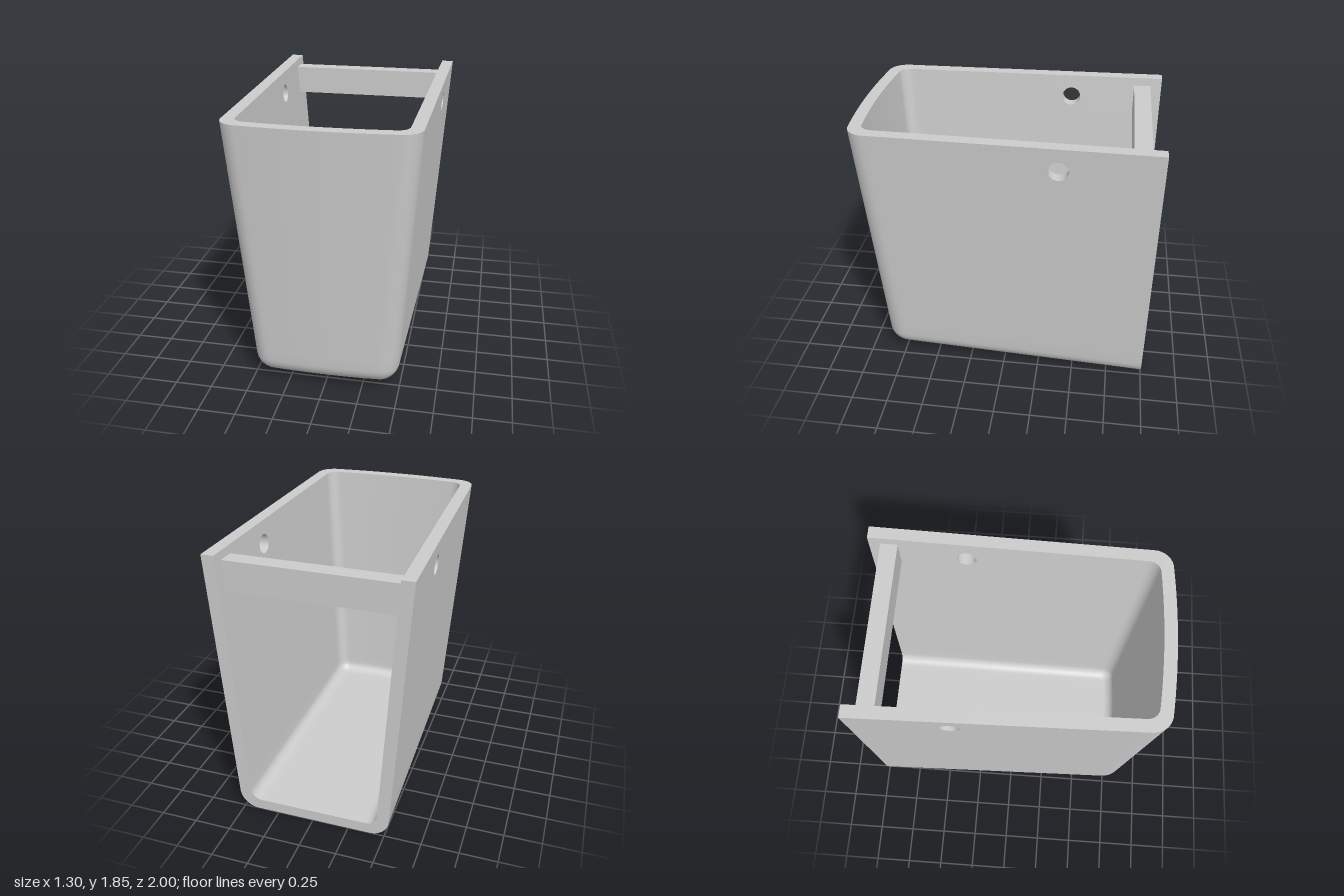
import * as THREE from 'three';
import { toCreasedNormals } from 'three/addons/utils/BufferGeometryUtils.js';

const HEIGHT = 1.845, WALL = 0.083, DRAFT = 0.07;
const HOLE = { z: -0.36, y: 1.69, r: 0.065, z0: -0.5, z1: -0.22, y0: 1.58, y1: 1.8 };
const HOLE_COLUMN = 1;
const UPPER_ROWS = [0.25, HOLE.y0, HOLE.y1, HEIGHT];
const FILLET_STEPS = 8, CORNER_STEPS = 8, FRONT_STEPS = 8;

// Tapered planes of the shell: half width, floor height and bowed front
const sideX = (y, z, t) => 0.65 - DRAFT * (HEIGHT - y) - 0.0225 * (z + 1) - t;
const floorY = (z, t) => 0.03 * (z + 1) + t * 0.9;
const frontZ = (x, y, t) => 1 - DRAFT * (HEIGHT - y) - 0.1 * x * x - t;

// Plan position of column i at height y, inset by d
function planPoint(i, y, d, t, corner) {
  const zc = frontZ(0.5, y, t) - corner;
  const xc = sideX(y, zc, t) - corner;
  const sideZ = [-1, HOLE.z0, HOLE.z1, zc - 0.04];
  if (i < sideZ.length) return [sideX(y, sideZ[i], t) - d, sideZ[i]];
  i -= sideZ.length;
  if (i <= CORNER_STEPS) {
    const a = (i / CORNER_STEPS) * Math.PI / 2;
    return [xc + (corner - d) * Math.cos(a), zc + (corner - d) * Math.sin(a)
      + (frontZ(xc, y, t) - frontZ(0.5, y, t)) * Math.sin(a)];
  }
  const x = xc * (1 - (i - CORNER_STEPS) / FRONT_STEPS);
  return [x, frontZ(x, y, t) - d];
}

// One skin of the shell as rows of points, from the floor centre line up to the rim
function skin(t, fillet) {
  const corner = fillet + 0.005;
  const half = 4 + CORNER_STEPS + FRONT_STEPS;
  const row = (d, heightAt, spread = 1) => {
    const pts = [];
    for (let i = 0; i <= half; i++) {
      let y = heightAt(0.8), p;
      for (let k = 0; k < 3; k++) {
        p = planPoint(i, y, d, t, corner);
        y = heightAt(p[1]);
      }
      pts.push([p[0] * spread, y, p[1]]);
    }
    const mirrored = pts.slice(0, -1).reverse().map(([x, y, z]) => [-x, y, z]);
    return pts.concat(mirrored);
  };
  const rows = [0, 0.88].map((s) => row(fillet, (z) => floorY(z, t), s));
  for (let k = 0; k <= FILLET_STEPS; k++) {
    const a = (k / FILLET_STEPS) * Math.PI / 2;
    rows.push(row(fillet * (1 - Math.sin(a)), (z) => floorY(z, t) + fillet * (1 - Math.cos(a))));
  }
  for (const y of UPPER_ROWS) rows.push(row(0, () => y));
  return rows;
}

function shellGeometry() {
  const pos = [];
  const tri = (a, b, c, flip) => pos.push(...a, ...(flip ? c : b), ...(flip ? b : c));
  const quad = (a, b, c, d, flip) => { tri(a, b, c, flip); tri(a, c, d, flip); };

  const outer = skin(0, 0.12), inner = skin(WALL, 0.07);
  const rows = outer.length, cols = outer[0].length;
  const holeRow = rows - 3;

  // Outer and inner skins, leaving out the side panels that carry the holes
  [outer, inner].forEach((g, isInner) => {
    for (let j = 0; j < rows - 1; j++) {
      for (let i = 0; i < cols - 1; i++) {
        if (j === holeRow && (i === HOLE_COLUMN || i === cols - 2 - HOLE_COLUMN)) continue;
        quad(g[j][i], g[j + 1][i], g[j + 1][i + 1], g[j][i + 1], !!isInner);
      }
    }
  });

  // Top rim and the rear edge of the open back
  const top = rows - 1, end = cols - 1;
  for (let i = 0; i < end; i++) quad(outer[top][i], inner[top][i], inner[top][i + 1], outer[top][i + 1]);
  for (let j = 0; j < top; j++) {
    quad(outer[j][0], inner[j][0], inner[j + 1][0], outer[j + 1][0]);
    quad(outer[j][end], inner[j][end], inner[j + 1][end], outer[j + 1][end], true);
  }

  // Side panels pierced by a round hole
  const panel = new THREE.Shape([
    new THREE.Vector2(HOLE.z0, HOLE.y0), new THREE.Vector2(HOLE.z1, HOLE.y0),
    new THREE.Vector2(HOLE.z1, HOLE.y1), new THREE.Vector2(HOLE.z0, HOLE.y1)]);
  panel.holes.push(new THREE.Path().absarc(HOLE.z, HOLE.y, HOLE.r, 0, Math.PI * 2, true));
  const flat = new THREE.ShapeGeometry(panel, 16).toNonIndexed().attributes.position;
  for (const s of [1, -1]) {
    const onWall = (z, y, t) => [s * sideX(y, z, t), y, z];
    for (const t of [0, WALL]) {
      for (let k = 0; k < flat.count; k += 3) {
        const p = [0, 1, 2].map((n) => onWall(flat.getX(k + n), flat.getY(k + n), t));
        tri(p[0], p[1], p[2], (s > 0) === (t === 0));
      }
    }
    // Bore of the hole
    const rim = (n, t) => {
      const a = (n / 32) * Math.PI * 2;
      return onWall(HOLE.z + HOLE.r * Math.cos(a), HOLE.y + HOLE.r * Math.sin(a), t);
    };
    for (let n = 0; n < 32; n++) quad(rim(n, 0), rim(n, WALL), rim(n + 1, WALL), rim(n + 1, 0), s < 0);
  }

  const geometry = new THREE.BufferGeometry();
  geometry.setAttribute('position', new THREE.Float32BufferAttribute(pos, 3));
  return toCreasedNormals(geometry, 0.5);
}

export function createModel() {
  const group = new THREE.Group();
  group.name = 'openBackedBin';
  const material = new THREE.MeshStandardMaterial({ color: 0xcccccc });

  const shell = new THREE.Mesh(shellGeometry(), material);
  shell.name = 'shell';
  group.add(shell);

  // Cross bar tying the side walls together at the open back
  const bar = new THREE.Mesh(new THREE.BoxGeometry(1.13, 0.2, 0.115), material);
  bar.name = 'crossBar';
  bar.position.set(0, 1.69, -0.865);
  group.add(bar);

  return group;
}
